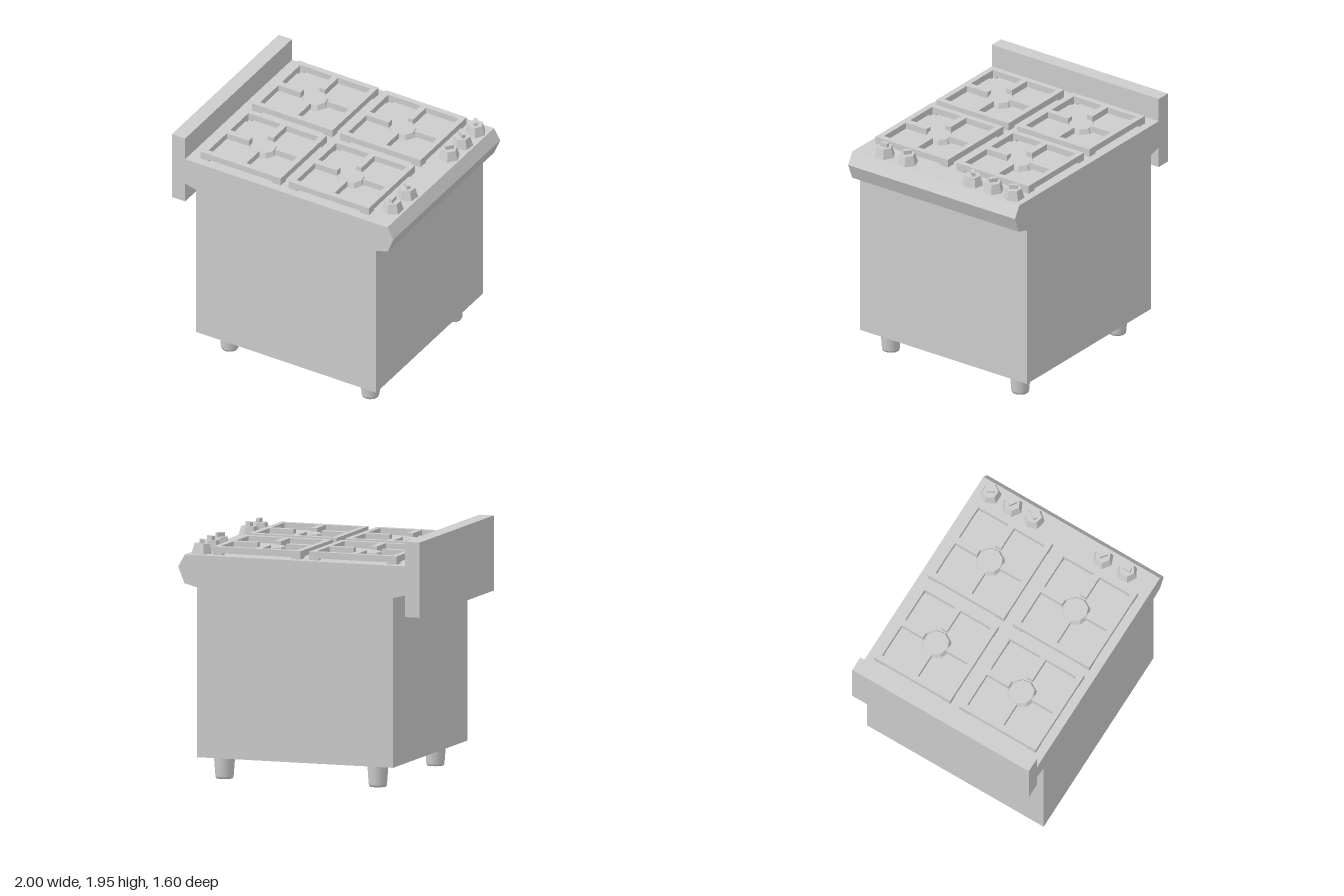
import * as THREE from 'three';

export function createModel() {
  const group = new THREE.Group();
  group.name = 'stove';
  const grey = new THREE.MeshStandardMaterial({ color: 0xcccccc });
  grey.name = 'light grey enamel';
  const facetGrey = grey.clone();
  facetGrey.flatShading = true;
  const TOP = 1.755;

  const add = (parent, name, geometry, x, y, z, material = grey) => {
    const mesh = new THREE.Mesh(geometry, material);
    mesh.name = name;
    mesh.position.set(x, y, z);
    parent.add(mesh);
    return mesh;
  };
  const points = (list) => list.map(([x, y]) => new THREE.Vector2(x, y));

  // Body: side profile with back panel, worktop nose and cabinet
  const profile = new THREE.Shape(points([
    [-1, 1.36], [-0.88, 1.36], [-0.88, 1.527], [-0.78, 1.503], [-0.78, 0.177],
    [0.845, 0.177], [0.845, 1.503], [0.948, 1.53], [1, 1.66], [0.945, TOP],
    [-0.88, TOP], [-0.88, 1.947], [-1, 1.947],
  ]));
  add(group, 'body', new THREE.ExtrudeGeometry(profile, { depth: 1.6, bevelEnabled: false }), 0, 0, -0.8);

  // Legs: tapered, smooth, with a rounded lower edge
  const legGeometry = new THREE.LatheGeometry(points([
    [0, 0], [0.066, 0], [0.071, 0.02], [0.083, 0.178],
  ]), 16);
  for (const x of [-0.585, 0.685]) {
    for (const z of [-0.62, 0.62]) add(group, 'leg', legGeometry, x, 0, z);
  }

  // Pan support: frame with four fingers pointing at the burner
  const W = 0.363, D = 0.346, rim = 0.047, bar = 0.026, open = 0.117;
  const plate = new THREE.Shape(points([[-W, -D], [W, -D], [W, D], [-W, D]]));
  const corner = [
    [open, bar], [W - rim, bar], [W - rim, D - rim], [bar, D - rim], [bar, open - 0.012],
  ];
  const flip = (sx, sy) => corner.map(([x, y]) => [x * sx, y * sy]);
  plate.holes.push(new THREE.Path(points([
    ...corner, ...flip(-1, 1).reverse(), ...flip(-1, -1), ...flip(1, -1).reverse(),
  ])));
  const plateGeometry = new THREE.ExtrudeGeometry(plate, { depth: 0.05, bevelEnabled: false });
  plateGeometry.rotateX(-Math.PI / 2);
  const footLong = new THREE.BoxGeometry(0.08, 0.017, rim);
  const footDeep = new THREE.BoxGeometry(rim, 0.017, 0.08);
  const burnerGeometry = new THREE.CylinderGeometry(0.098, 0.117, 0.04, 9);

  for (const x of [-0.422, 0.373]) {
    for (const z of [-0.39, 0.384]) {
      const grate = new THREE.Group();
      grate.name = 'panSupport';
      grate.position.set(x, TOP, z);
      group.add(grate);
      add(grate, 'grateFrame', plateGeometry, 0, 0.015, 0);
      for (const sx of [-1, 1]) {
        for (const sz of [-1, 1]) {
          add(grate, 'grateFoot', footLong, sx * (W - 0.04), 0.0085, sz * (D - rim / 2));
          add(grate, 'grateFoot', footDeep, sx * (W - rim / 2), 0.0085, sz * (D - 0.04));
        }
      }
      add(group, 'burner', burnerGeometry, x, TOP + 0.02, z, facetGrey);
    }
  }

  // Control knobs: hexagonal, each turned to its own angle
  const knobGeometry = new THREE.CylinderGeometry(0.062, 0.085, 0.078, 6);
  const gripGeometry = new THREE.BoxGeometry(0.03, 0.034, 0.066);
  for (const [z, degrees] of [[-0.677, 30], [-0.48, 55], [-0.285, -40], [0.342, 52], [0.56, 0]]) {
    const knob = new THREE.Group();
    knob.name = 'knob';
    knob.position.set(0.85, TOP, z);
    knob.rotation.y = THREE.MathUtils.degToRad(degrees);
    group.add(knob);
    add(knob, 'knobBase', knobGeometry, 0, 0.039, 0, facetGrey);
    add(knob, 'knobGrip', gripGeometry, 0, 0.093, 0);
  }
  return group;
}
